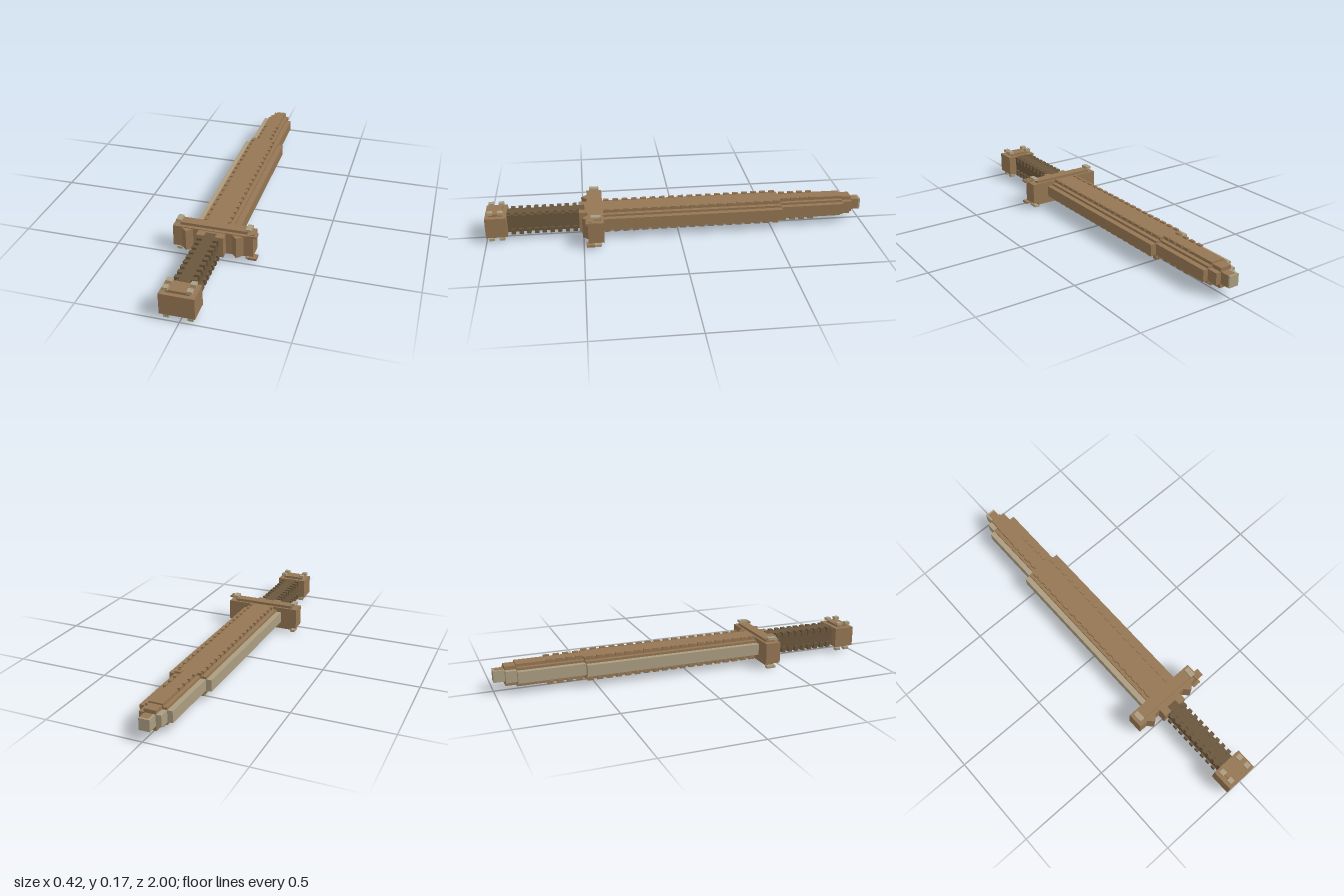
import * as THREE from 'three';

const wood = new THREE.MeshStandardMaterial({ color: 0x957653 });
wood.name = 'wood';
const darkGrip = new THREE.MeshStandardMaterial({ color: 0x6b573d });
darkGrip.name = 'dark grip';
const paleMetal = new THREE.MeshStandardMaterial({ color: 0xaa9d80 });
paleMetal.name = 'pale metal';

const MID_X = -0.0125; // centre line of the sword
const MID_Y = 0.085;   // middle of its thickness

// Box given by its limits on each axis
function block(parent, name, material, [x0, x1], [y0, y1], [z0, z1]) {
  const mesh = new THREE.Mesh(new THREE.BoxGeometry(x1 - x0, y1 - y0, z1 - z0), material);
  mesh.position.set((x0 + x1) / 2, (y0 + y1) / 2, (z0 + z1) / 2);
  mesh.name = name;
  parent.add(mesh);
  return mesh;
}

// Box centred on the sword's axis
const centred = (parent, name, material, halfX, halfY, z) =>
  block(parent, name, material, [MID_X - halfX, MID_X + halfX], [MID_Y - halfY, MID_Y + halfY], z);

// The same block on the upper and lower face
function topAndBottom(parent, name, material, x, [y0, y1], z) {
  block(parent, name, material, x, [y0, y1], z);
  block(parent, name, material, x, [2 * MID_Y - y1, 2 * MID_Y - y0], z);
}

function part(root, name) {
  const group = new THREE.Group();
  group.name = name;
  root.add(group);
  return group;
}

function makeBlade(root) {
  const blade = part(root, 'blade');
  // Stepped outline: half width, start and end along z
  const steps = [[0.111, -0.55, 0.4], [0.082, -0.89, -0.55], [0.055, -0.945, -0.89], [0.027, -1, -0.945]];
  steps.forEach(([half, z0, z1], i) => {
    const grey = i === 3 ? 0.01 : 0.028;
    const left = MID_X - half;
    const back = i === 3 ? z0 + 0.009 : z0;
    block(blade, 'cuttingEdge', paleMetal, [left, left + grey], [0.057, 0.116], [back, z1]);
    block(blade, 'bladeBody', wood, [left + grey, MID_X + half], [0.057, 0.116], [back, z1]);
    if (i === 3) block(blade, 'tipFace', paleMetal, [left, MID_X + half], [0.057, 0.116], [z0, back]);
  });
  // Thicker middle tiers
  centred(blade, 'wideTier', wood, 0.082, 0.043, [-0.55, 0.4]);
  centred(blade, 'narrowTier', wood, 0.055, 0.043, [-0.89, -0.55]);
  centred(blade, 'tipTier', wood, 0.03, 0.05, [-0.945, -0.89]);
  centred(blade, 'wideRidge', wood, 0.06, 0.058, [-0.55, 0.4]);
  centred(blade, 'narrowRidge', wood, 0.035, 0.058, [-0.89, -0.55]);
  // Rows of small notches along the ridge
  for (let z = -0.74; z < 0.37; z += 0.05) {
    const offset = z < -0.56 ? 0.036 : 0.06;
    for (const side of [-1, 1]) {
      const x = MID_X + side * offset;
      topAndBottom(blade, 'ridgeTooth', wood, [x - 0.007, x + 0.007], [0.135, 0.15], [z, z + 0.03]);
    }
  }
}

function makeGuard(root) {
  const guard = part(root, 'guard');
  block(guard, 'crossGuard', wood, [-0.213, 0.192], [0.031, 0.142], [0.395, 0.476]);
  topAndBottom(guard, 'guardPlate', wood, [-0.18, 0.158], [0.142, 0.156], [0.407, 0.458]);
  for (const x of [-0.187, 0.164])
    topAndBottom(guard, 'guardStud', paleMetal, [x - 0.0135, x + 0.0135], [0.157, 0.17], [0.41, 0.46]);
  // Diamond posts on the grip side
  for (const x of [-0.138, 0.115]) {
    const post = block(guard, 'diamondPost', wood, [x - 0.021, x + 0.021], [0.029, 0.138], [0.454, 0.496]);
    post.rotation.y = Math.PI / 4;
  }
  // Small clasp at one corner
  topAndBottom(guard, 'clasp', wood, [0.168, 0.211], [0.142, 0.153], [0.446, 0.487]);
  topAndBottom(guard, 'claspButton', wood, [0.179, 0.2], [0.153, 0.157], [0.456, 0.477]);
  centred(guard, 'collar', wood, 0.068, 0.054, [0.476, 0.519]);
}

function makeGrip(root) {
  const grip = part(root, 'grip');
  centred(grip, 'gripCore', darkGrip, 0.042, 0.045, [0.49, 0.89]);
  centred(grip, 'gripSpine', darkGrip, 0.027, 0.055, [0.49, 0.89]);
  // Wrapped bands standing out at the corners
  for (let i = 0; i < 9; i++) {
    const z = 0.53 + i * 0.04;
    for (const side of [-1, 1]) {
      const x = MID_X + side * 0.04;
      topAndBottom(grip, 'gripBand', darkGrip, [x - 0.013, x + 0.013], [0.112, 0.142], [z, z + 0.022]);
    }
  }
}

function makePommel(root) {
  const pommel = part(root, 'pommel');
  block(pommel, 'pommelBlock', wood, [-0.094, 0.073], [0.031, 0.138], [0.89, 1]);
  topAndBottom(pommel, 'pommelPlate', wood, [-0.067, 0.045], [0.138, 0.151], [0.912, 0.98]);
  for (const x of [-0.067, 0.046])
    for (const z of [0.92, 0.973])
      topAndBottom(pommel, 'pommelStud', paleMetal, [x - 0.0135, x + 0.0135], [0.151, 0.165], [z - 0.0135, z + 0.0135]);
}

export function createModel() {
  const sword = new THREE.Group();
  sword.name = 'sword';
  makeBlade(sword);
  makeGuard(sword);
  makeGrip(sword);
  makePommel(sword);
  return sword;
}
